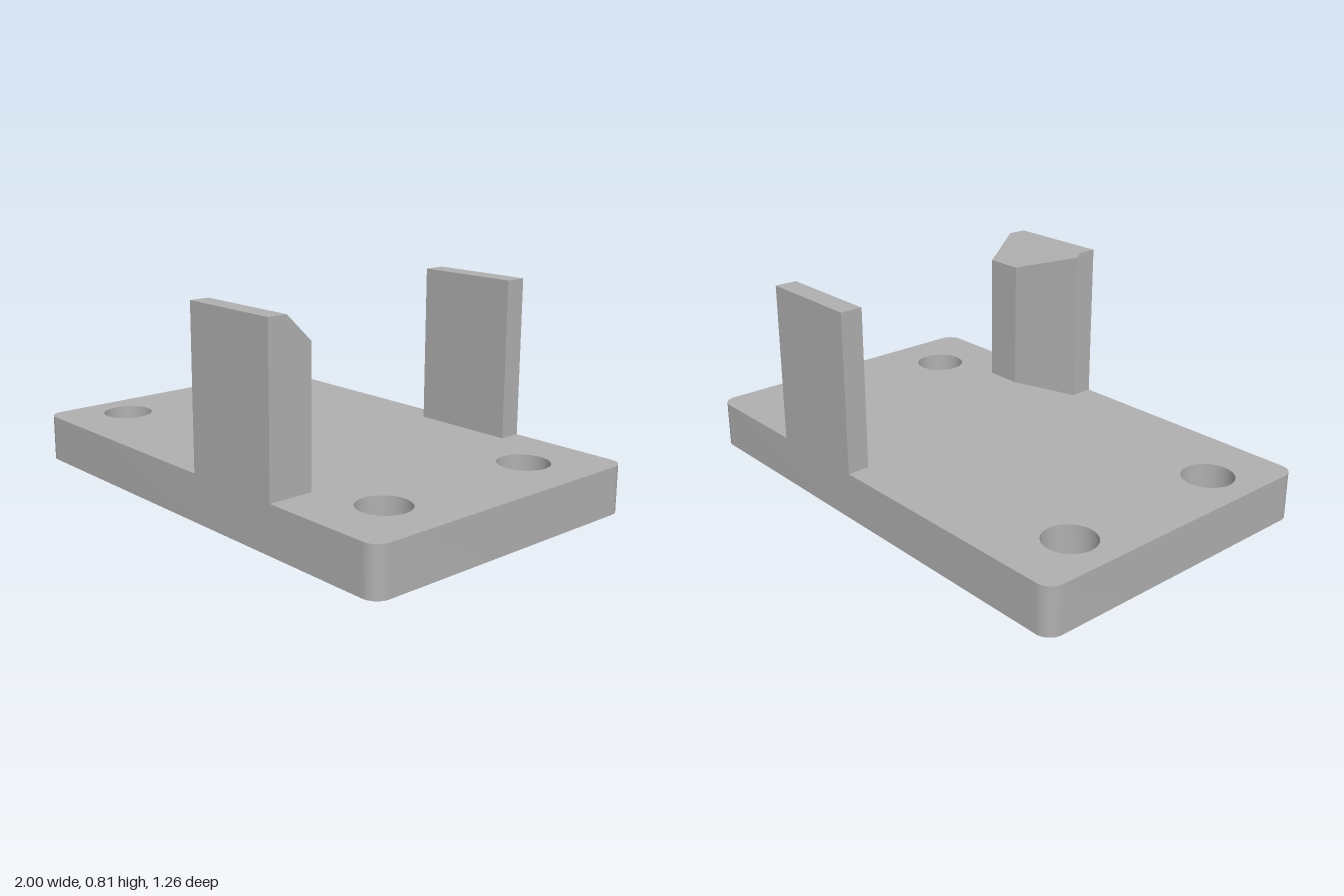
import * as THREE from 'three';
import { toCreasedNormals } from 'three/addons/utils/BufferGeometryUtils.js';

const HALF_X = 1, HALF_Z = 0.63, PLATE_H = 0.185, TOP = 0.81;
const POST_X0 = 0.065, POST_X1 = 0.493;

// Extrudes a plan outline drawn as (x, z) upward from y0 to y1
function extrudeUp(shape, y0, y1) {
  const geo = new THREE.ExtrudeGeometry(shape, { depth: y1 - y0, bevelEnabled: false, curveSegments: 16 });
  geo.rotateX(Math.PI / 2);
  geo.translate(0, y1, 0);
  return geo;
}

export function createModel() {
  const group = new THREE.Group();
  const grey = new THREE.MeshStandardMaterial({ name: 'grey', color: 0xb0b0b0 });
  const add = (name, geo) => {
    const mesh = new THREE.Mesh(geo, grey);
    mesh.name = name;
    group.add(mesh);
  };

  // Base plate with rounded corners and four bolt holes
  const r = 0.06, plate = new THREE.Shape();
  plate.absarc(HALF_X - r, HALF_Z - r, r, 0, Math.PI / 2);
  plate.absarc(-HALF_X + r, HALF_Z - r, r, Math.PI / 2, Math.PI);
  plate.absarc(-HALF_X + r, -HALF_Z + r, r, Math.PI, Math.PI * 1.5);
  plate.absarc(HALF_X - r, -HALF_Z + r, r, Math.PI * 1.5, Math.PI * 2);
  plate.closePath();
  for (const x of [-0.813, 0.75]) {
    for (const z of [-0.358, 0.355]) {
      plate.holes.push(new THREE.Path().absarc(x, z, 0.1, 0, Math.PI * 2, true));
    }
  }
  add('basePlate', toCreasedNormals(extrudeUp(plate, 0, PLATE_H), 0.6));

  // Flat upright slabs flush with the front and back edges
  const slab = (name, z0, z1) => {
    const geo = new THREE.BoxGeometry(POST_X1 - POST_X0, TOP - PLATE_H, z1 - z0);
    geo.translate((POST_X0 + POST_X1) / 2, (TOP + PLATE_H) / 2, (z0 + z1) / 2);
    add(name, geo);
  };
  const chamferZ = 0.552;
  slab('backPost', -HALF_Z, -0.542);
  slab('frontPost', chamferZ, HALF_Z);

  // Tapered inner side of the front post, its top sloping down inward
  const guide = new THREE.Shape([
    [POST_X0, chamferZ], [POST_X0, 0.535], [0.34, 0.447], [POST_X1, 0.447], [POST_X1, chamferZ],
  ].map(([x, z]) => new THREE.Vector2(x, z)));
  const guideGeo = extrudeUp(guide, PLATE_H, TOP);
  const pos = guideGeo.attributes.position;
  for (let i = 0; i < pos.count; i++) {
    if (pos.getY(i) > 0.5) pos.setY(i, TOP - (chamferZ - pos.getZ(i)) * 0.97);
  }
  guideGeo.computeVertexNormals();
  add('frontPostGuide', guideGeo);

  return group;
}
